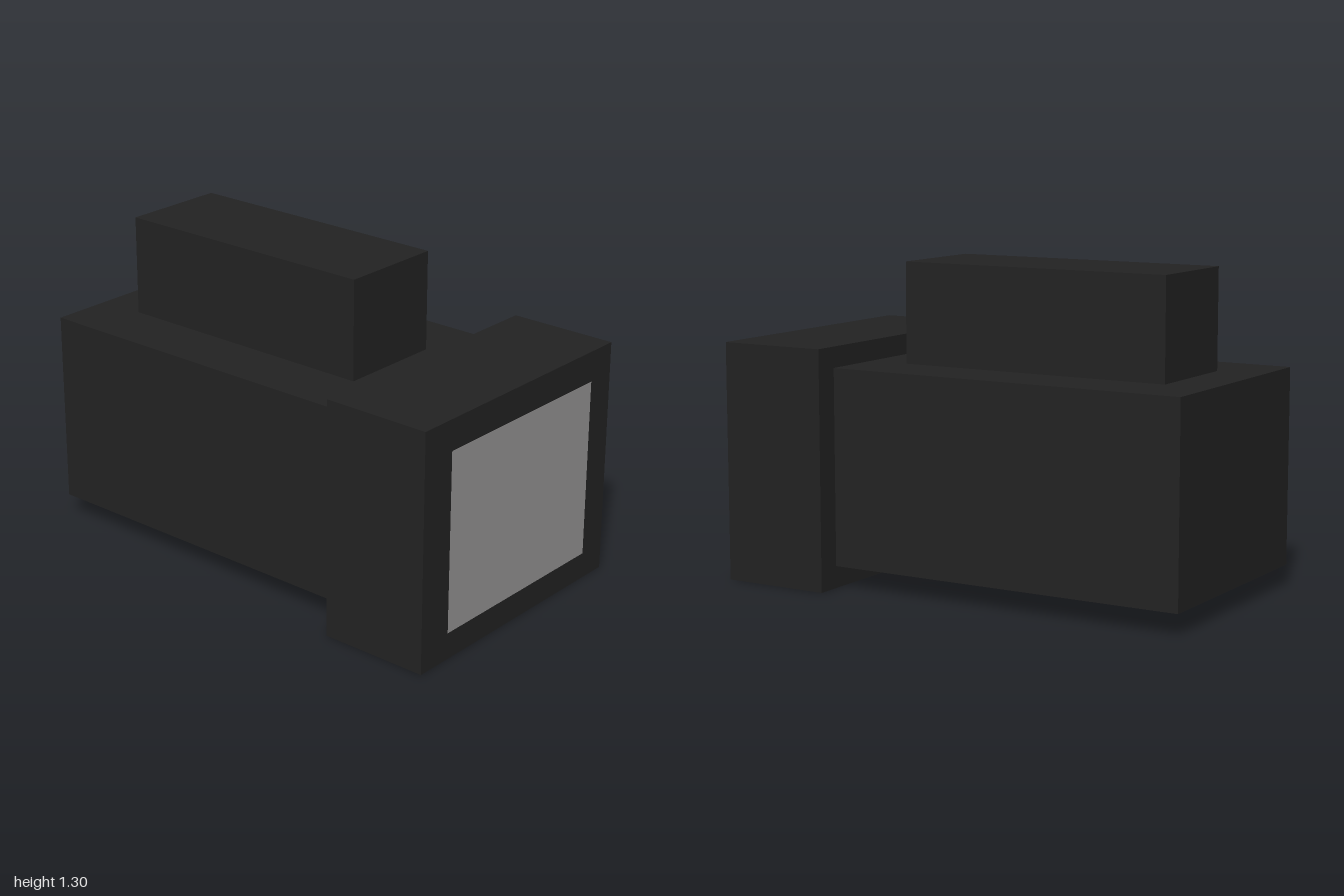
import * as THREE from 'three';

export function createModel() {
  const model = new THREE.Group();
  const black = new THREE.MeshStandardMaterial({ color: 0x222222 });
  black.name = 'black casing';
  const grey = new THREE.MeshStandardMaterial({ color: 0x939191 });
  grey.name = 'grey glass';

  // Axis-aligned block given by its limits on each axis
  function block(name, material, [x0, x1], [y0, y1], [z0, z1]) {
    const mesh = new THREE.Mesh(new THREE.BoxGeometry(x1 - x0, y1 - y0, z1 - z0), material);
    mesh.position.set((x0 + x1) / 2, (y0 + y1) / 2, (z0 + z1) / 2);
    mesh.name = name;
    model.add(mesh);
  }

  // Main housing, wider front hood and raised top block
  block('body', black, [-0.48, 0.48], [0.09, 0.89], [-1, 0.53]);
  block('frontHood', black, [-0.58, 0.58], [0, 0.975], [0.53, 0.988]);
  block('topBlock', black, [-0.224, 0.222], [0.89, 1.3], [-0.804, 0.357]);

  // Thin pane just ahead of the hood
  const pane = new THREE.Mesh(new THREE.PlaneGeometry(0.874, 0.738), grey);
  pane.position.set(-0.002, 0.489, 1);
  pane.name = 'frontPane';
  model.add(pane);

  return model;
}
